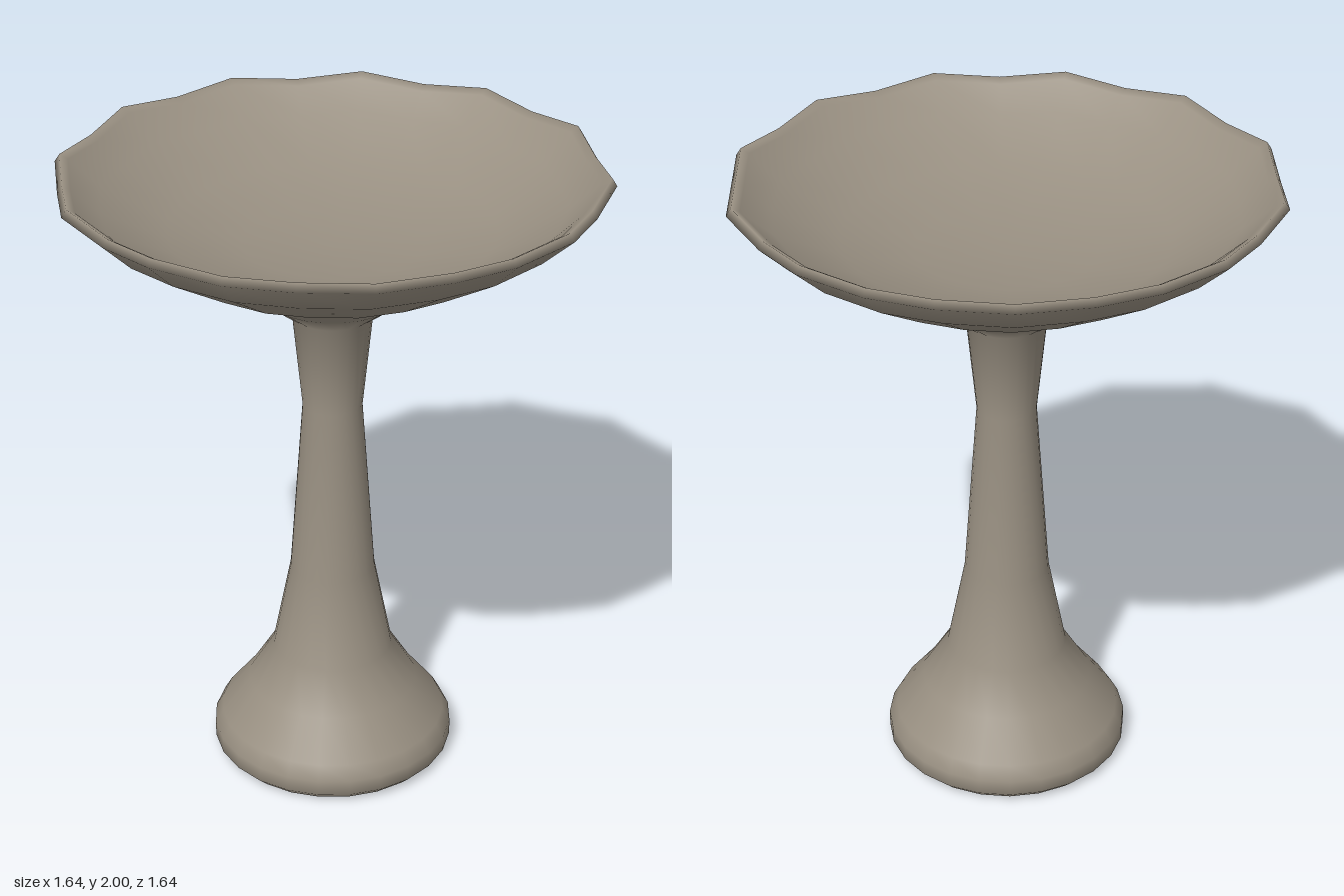
import * as THREE from 'three';
import { mergeVertices } from 'three/addons/utils/BufferGeometryUtils.js';

const SIDES = 24;

// Lathed surface with smooth normals; each point is [radius, height, scallop].
// Scallop pulls every second column in and down, giving a twelve-pointed rim.
function turned(points, material, name) {
  const lathe = new THREE.LatheGeometry(points.map(([r, y]) => new THREE.Vector2(r, y)), SIDES);
  const pos = lathe.attributes.position;
  for (let i = 0; i < pos.count; i++) {
    const column = Math.floor(i / points.length);
    const s = points[i % points.length][2] || 0;
    if (column % 2 === 1 && s > 0) {
      const k = 1 - 0.03 * s;
      pos.setXYZ(i, pos.getX(i) * k, pos.getY(i) - 0.016 * s, pos.getZ(i) * k);
    }
  }
  lathe.deleteAttribute('uv');
  lathe.deleteAttribute('normal');
  const geometry = mergeVertices(lathe, 1e-5);
  geometry.computeVertexNormals();
  const mesh = new THREE.Mesh(geometry, material);
  mesh.name = name;
  return mesh;
}

export function createModel() {
  const group = new THREE.Group();
  group.name = 'birdBath';
  const stone = new THREE.MeshStandardMaterial({ color: 0x999082 });
  stone.name = 'weathered stone';

  // Foot, stem, scalloped basin and its hollow in one continuous profile
  group.add(turned([
    [0.355, 0], [0.385, 0.03], [0.385, 0.08], [0.36, 0.125], [0.27, 0.24],
    [0.19, 0.37], [0.133, 0.66], [0.092, 1.23], [0.122, 1.53],
    [0.215, 1.6], [0.278, 1.69], [0.505, 1.755, 0.2], [0.72, 1.885, 0.6],
    [0.82, 1.977, 1], [0.805, 2, 1], [0.78, 1.985, 1],
    [0.69, 1.905, 0.6], [0.49, 1.81, 0.2], [0.27, 1.765], [0, 1.75],
  ], stone, 'pedestalAndBasin'));

  // Flat underside of the foot
  const underside = new THREE.Mesh(new THREE.CircleGeometry(0.355, SIDES), stone);
  underside.rotation.x = Math.PI / 2;
  underside.name = 'footUnderside';
  group.add(underside);

  return group;
}
